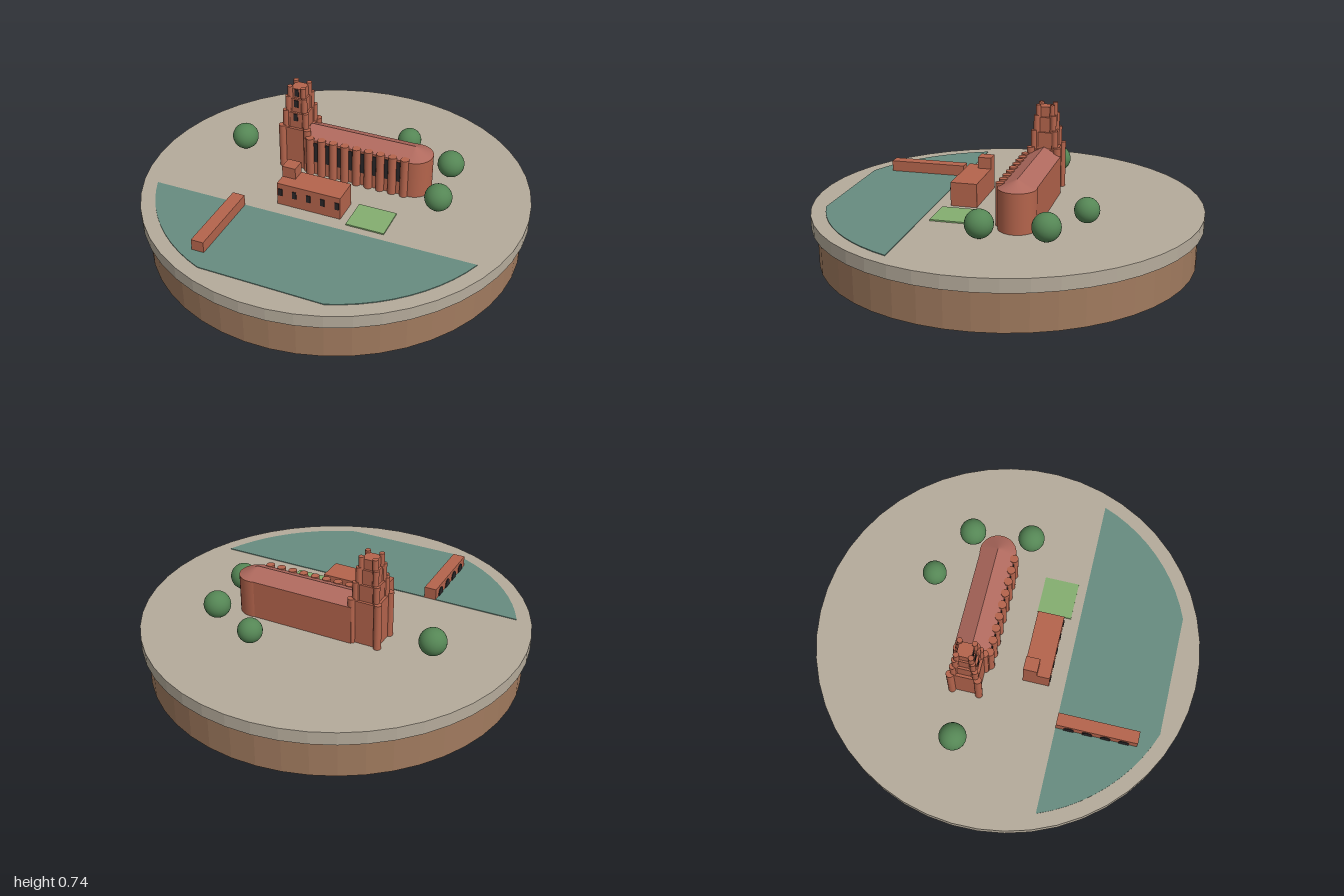
import * as THREE from 'three';

const mat = (name, color, extra = {}) => {
  const m = new THREE.MeshStandardMaterial({ color, ...extra });
  m.name = name;
  return m;
};

export function createModel() {
  const earth = mat('earth', 0xa07a5e, { flatShading: true });
  const stone = mat('stone', 0xb5ab9b, { flatShading: true });
  const water = mat('water', 0x678c80);
  const grass = mat('grass', 0x84ae70);
  const brick = mat('brick', 0xb4644c);
  const roof = mat('roof', 0xb06a5e);
  const dark = mat('darkOpening', 0x2a2628);
  const leaf = mat('foliage', 0x558655);

  const G = 0.268; // ground level
  const root = new THREE.Group();
  root.name = 'islandModel';
  // The whole site is laid out on axes turned 20 degrees
  const site = new THREE.Group();
  site.name = 'site';
  site.rotation.y = -Math.PI / 9;
  root.add(site);

  const add = (parent, name, geo, material, x = 0, y = 0, z = 0) => {
    const m = new THREE.Mesh(geo, material);
    m.name = name;
    m.position.set(x, y, z);
    parent.add(m);
    return m;
  };
  // Box and upright cylinder given by bottom and top height
  const box = (parent, name, material, x, z, w, d, y0, y1) =>
    add(parent, name, new THREE.BoxGeometry(w, y1 - y0, d), material, x, (y0 + y1) / 2, z);
  const column = (parent, name, material, x, z, r, y0, y1, seg = 16, rTop = r) =>
    add(parent, name, new THREE.CylinderGeometry(rTop, r, y1 - y0, seg), material, x, (y0 + y1) / 2, z);
  const group = (name) => {
    const g = new THREE.Group();
    g.name = name;
    site.add(g);
    return g;
  };

  // Round base
  column(root, 'basePlinth', earth, 0, 0, 0.97, 0, 0.2, 48);
  column(root, 'groundSlab', stone, 0, 0, 1, 0.2, G, 48);

  // River segment
  const R = 0.925;
  const river = new THREE.Shape();
  const arc = (from, to) => {
    for (let i = 0; i <= 10; i++) {
      const t = THREE.MathUtils.degToRad(from + ((to - from) * i) / 10);
      const p = [R * Math.cos(t), R * Math.sin(t)];
      if (from > 150 && i === 0) river.moveTo(...p);
      else river.lineTo(...p);
    }
  };
  arc(178, 130.5);
  arc(90, 41.7);
  river.closePath();
  const riverGeo = new THREE.ExtrudeGeometry(river, { depth: 0.008, bevelEnabled: false });
  riverGeo.rotateX(Math.PI / 2);
  add(root, 'river', riverGeo, water, 0, G + 0.004, 0);

  // Trees
  for (const [x, z, r] of [[-0.51, -0.335, 0.07], [0.38, -0.345, 0.063], [0.594, -0.12, 0.07], [0.519, 0.185, 0.07]])
    add(root, 'tree', new THREE.SphereGeometry(r, 24, 16), leaf, x, 0.342, z);

  // Church nave with gabled roof
  const church = group('church');
  const axis = -0.143, half = 0.091, west = -0.2, east = 0.374, eave = 0.472, ridge = 0.515;
  box(church, 'nave', brick, (west + east) / 2, axis, east - west, half * 2, G, eave);
  const gable = new THREE.Shape();
  gable.moveTo(-half, 0);
  gable.lineTo(half, 0);
  gable.lineTo(0, ridge - eave);
  gable.closePath();
  const roofGeo = new THREE.ExtrudeGeometry(gable, { depth: east - west, bevelEnabled: false });
  roofGeo.rotateY(Math.PI / 2);
  add(church, 'naveRoof', roofGeo, roof, west, eave, axis);

  // Rounded apse with conical roof
  column(church, 'apse', brick, east, axis, 0.095, G, eave, 32);
  column(church, 'apseRoof', roof, east, axis, 0.091, eave, ridge, 32, 0);

  // Row of round buttresses with tall windows between them
  const wall = axis + half;
  for (let i = 0; i < 9; i++) {
    const x = -0.168 + i * 0.065;
    column(church, 'buttress', brick, x, wall, 0.022, G, 0.485);
    if (i < 8) box(church, 'naveWindow', dark, x + 0.0325, wall + 0.001, 0.02, 0.006, 0.345, 0.46);
  }

  // Stepped tower: square core and four corner turrets at each stage
  const tower = group('tower');
  tower.position.set(-0.263, 0, axis);
  const stages = [
    [0.07, 0.02, G, 0.515, null],
    [0.056, 0.016, 0.5, 0.602, 0.565],
    [0.045, 0.015, 0.59, 0.68, 0.64],
    [0.037, 0.014, 0.67, 0.735, 0.7],
  ];
  for (const [h, r, y0, y1, win] of stages) {
    box(tower, 'towerStage', brick, 0, 0, h * 2, h * 2, y0, y1 - 0.012);
    for (const sx of [-1, 1])
      for (const sz of [-1, 1]) column(tower, 'turret', brick, sx * h, sz * h, r, G, y1);
    if (win) box(tower, 'towerWindow', dark, 0, h + 0.001, 0.022, 0.006, win - 0.02, win + 0.02);
  }

  // Riverside hall with a small corner block
  const hall = group('hall');
  box(hall, 'hallBody', brick, -0.035, 0.196, 0.343, 0.138, G, 0.392);
  box(hall, 'hallTurret', brick, -0.171, 0.163, 0.072, 0.072, 0.39, 0.452);
  for (let i = -2; i <= 2; i++)
    box(hall, 'hallWindow', dark, -0.035 + i * 0.0765, 0.266, 0.022, 0.006, 0.322, 0.362);

  // Lawn
  box(site, 'lawn', grass, 0.278, 0.207, 0.2, 0.18, G, G + 0.007);

  // Bridge with arched openings on its outer side
  const bridge = group('bridge');
  box(bridge, 'bridgeDeck', brick, -0.381, 0.554, 0.065, 0.418, G, 0.33);
  const opening = new THREE.Shape();
  opening.moveTo(-0.026, 0);
  opening.lineTo(0.026, 0);
  opening.lineTo(0.026, 0.016);
  opening.absarc(0, 0.016, 0.026, 0, Math.PI, false);
  opening.closePath();
  const archGeo = new THREE.ExtrudeGeometry(opening, { depth: 0.005, bevelEnabled: false, curveSegments: 12 });
  archGeo.rotateY(-Math.PI / 2);
  for (let i = 0; i < 4; i++)
    add(bridge, 'bridgeArch', archGeo, dark, -0.4125, G + 0.004, 0.554 + (i - 1.5) * 0.094);

  return root;
}
